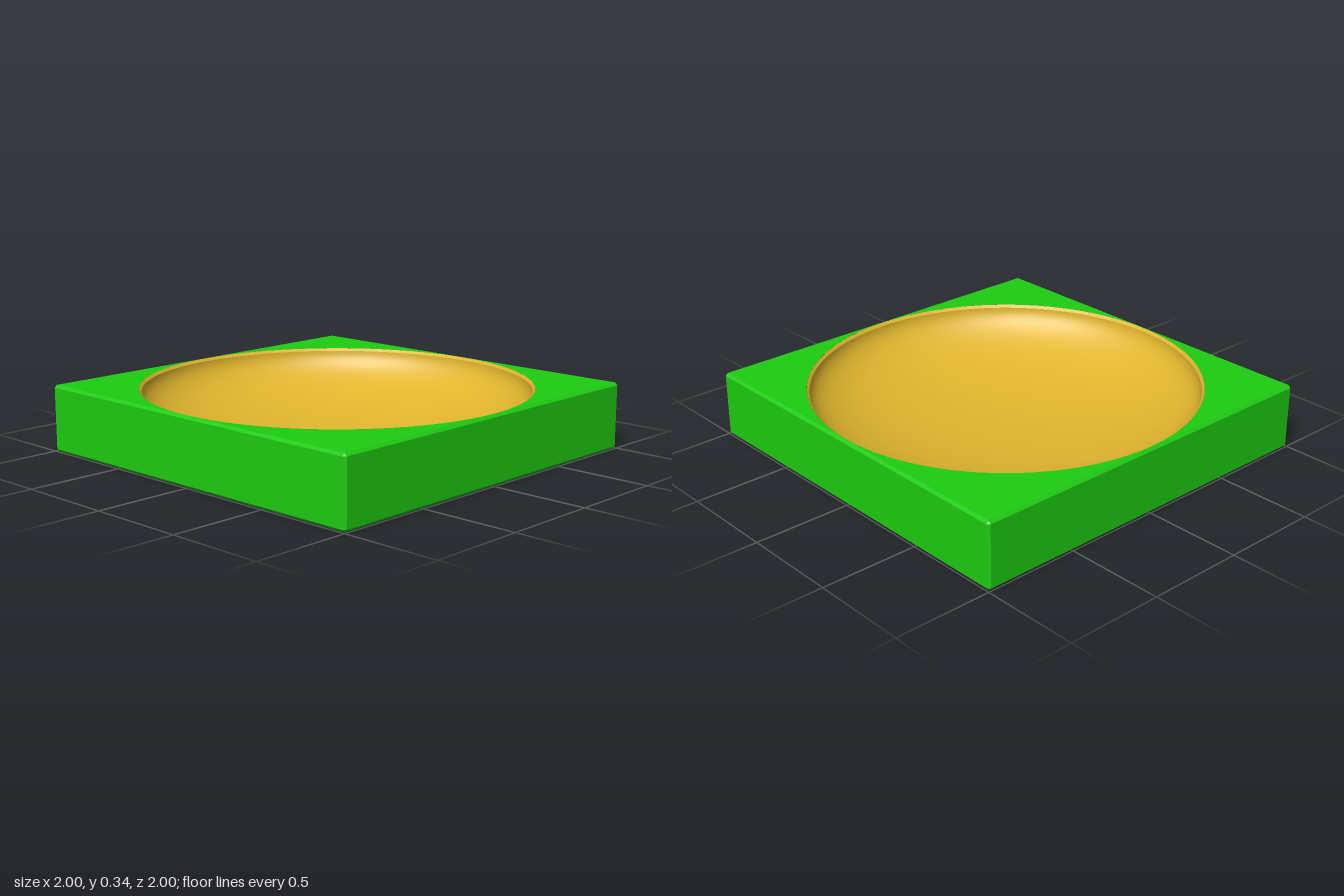
import * as THREE from 'three';

const H = 0.34;      // block height
const B = 0.013;     // edge chamfer
const S = 1 - B;     // half width of the flat faces
const RIM = 0.983;   // opening radius at the top face
const R = 0.97;      // bowl radius under the rim chamfer
const DEPTH = 0.3;   // bowl depth below the rim chamfer

const green = new THREE.MeshStandardMaterial({ color: 0x1ecc12 });
const gold = new THREE.MeshStandardMaterial({ color: 0xe0b52d });

function part(name, geometry, material) {
  const mesh = new THREE.Mesh(geometry, material);
  mesh.name = name;
  return mesh;
}

// Eight-cornered ring; the corners merge in pairs where half === S.
function ring(y, half) {
  const points = [];
  for (let i = 0; i < 4; i++) {
    for (const [x, z] of [[half, S], [S, half]]) {
      points.push(new THREE.Vector3(x, y, z).applyAxisAngle(new THREE.Vector3(0, 1, 0), -i * Math.PI / 2));
    }
  }
  return points;
}

// Side walls with chamfered edges, lofted through four rings.
function chamferedWalls() {
  const rings = [ring(0, S), ring(B, 1), ring(H - B, 1), ring(H, S)];
  const positions = [];
  const tri = (a, b, c) => {
    if (new THREE.Triangle(a, b, c).getArea() < 1e-8) return;
    for (const p of [a, b, c]) positions.push(p.x, p.y, p.z);
  };
  for (let k = 0; k < 3; k++) {
    for (let i = 0; i < 8; i++) {
      const j = (i + 1) % 8;
      const [a, b, c, d] = [rings[k][i], rings[k][j], rings[k + 1][j], rings[k + 1][i]];
      tri(a, c, b);
      tri(a, d, c);
    }
  }
  const geometry = new THREE.BufferGeometry();
  geometry.setAttribute('position', new THREE.Float32BufferAttribute(positions, 3));
  geometry.computeVertexNormals();
  return geometry;
}

// Top face with a round opening.
function topFace() {
  const shape = new THREE.Shape([
    new THREE.Vector2(-S, -S), new THREE.Vector2(S, -S),
    new THREE.Vector2(S, S), new THREE.Vector2(-S, S),
  ]);
  shape.holes.push(new THREE.Path().absarc(0, 0, RIM, 0, Math.PI * 2, true));
  return new THREE.ShapeGeometry(shape, 96).rotateX(-Math.PI / 2).translate(0, H, 0);
}

export function createModel() {
  const model = new THREE.Group();
  model.name = 'bowlTile';

  // Square block
  const block = new THREE.Group();
  block.name = 'block';
  block.add(
    part('walls', chamferedWalls(), green),
    part('top', topFace(), green),
    part('base', new THREE.PlaneGeometry(2 * S, 2 * S).rotateX(Math.PI / 2), green),
  );

  // Chamfered rim and half-ellipsoid hollow, profiles run from rim to centre
  const rimProfile = [new THREE.Vector2(RIM, H), new THREE.Vector2(R, H - B)];
  const bowlProfile = [];
  for (let i = 0; i <= 32; i++) {
    const t = (i / 32) * Math.PI / 2;
    bowlProfile.push(new THREE.Vector2(i === 32 ? 0 : R * Math.cos(t), H - B - DEPTH * Math.sin(t)));
  }
  model.add(
    block,
    part('rim', new THREE.LatheGeometry(rimProfile, 96), gold),
    part('bowl', new THREE.LatheGeometry(bowlProfile, 96), gold),
  );
  return model;
}
